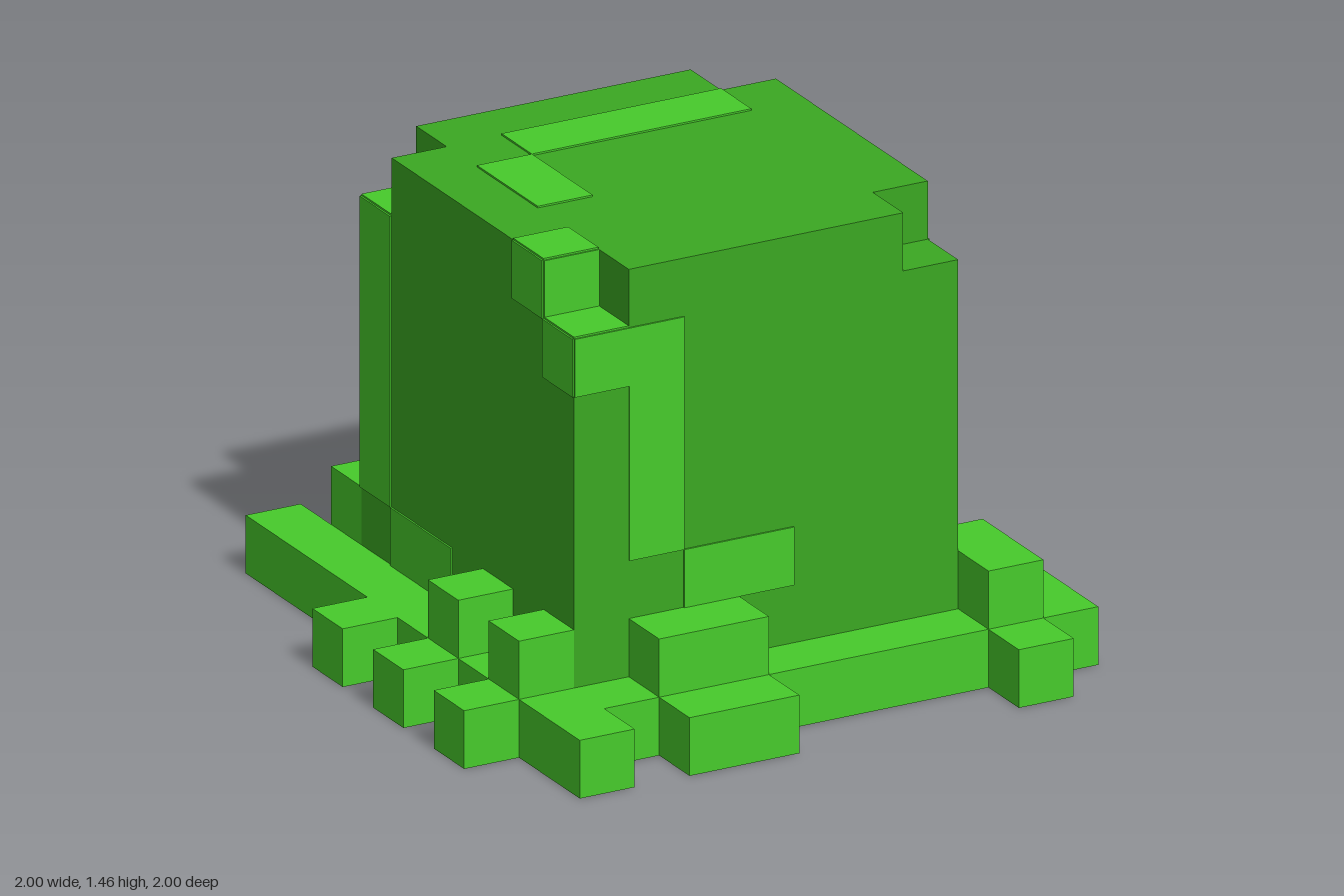
import * as THREE from 'three';

const U = 2 / 11;   // one cell of the 11 x 8 x 11 block grid
const T = 0.03;     // plate thickness, in cells

export function createModel() {
  const model = new THREE.Group();
  model.name = 'blockModel';
  const bright = new THREE.MeshStandardMaterial({ color: 0x47cb2b });
  bright.name = 'brightGreen';
  const dark = new THREE.MeshStandardMaterial({ color: 0x3ba822 });
  dark.name = 'darkGreen';

  // box between cell boundaries
  function block(parent, name, mat, x0, x1, y0, y1, z0, z1) {
    const g = new THREE.BoxGeometry((x1 - x0) * U, (y1 - y0) * U, (z1 - z0) * U);
    const m = new THREE.Mesh(g, mat);
    m.name = name;
    m.position.set((x0 + x1) / 2 * U - 1, (y0 + y1) / 2 * U, (z0 + z1) / 2 * U - 1);
    parent.add(m);
  }
  function part(name) {
    const g = new THREE.Group();
    g.name = name;
    model.add(g);
    return g;
  }

  // body: a cube whose top layer lacks its four corners
  const body = part('body');
  block(body, 'bodyCore', dark, 2, 9, 0, 7, 2, 9);
  block(body, 'topMiddle', dark, 3, 8, 7, 8, 2, 9);
  for (const x of [2, 8]) block(body, 'topSide', dark, x, x + 1, 7, 8, 3, 8);

  // thin bright patches on each face: [a0, a1, b0, b1]
  const patches = part('highlights');
  const front = [[2, 4, 6, 7], [3, 4, 3, 6], [4, 6, 2, 3]];
  const back = [[7, 8, 3, 7], [5, 7, 2, 3], [2, 3, 1, 7]];
  const plusX = [[7, 8, 3, 7], [5, 7, 2, 3]];
  const minusX = [[2, 3, 2, 7], [3, 5, 1, 2], [8, 9, 6, 7], [7, 8, 7, 8]];
  const top = [[4, 8, 3, 4], [3, 4, 4, 6], [2, 3, 7, 8]];
  const floors = [[2, 3, 2, 3], [2, 3, 8, 9]];
  for (const [a, b, c, d] of front) block(patches, 'frontPatch', bright, a, b, c, d, 9, 9 + T);
  for (const [a, b, c, d] of back) block(patches, 'backPatch', bright, a, b, c, d, 2 - T, 2);
  for (const [a, b, c, d] of plusX) block(patches, 'leftPatch', bright, 9, 9 + T, c, d, a, b);
  for (const [a, b, c, d] of minusX) block(patches, 'rightPatch', bright, 2 - T, 2, c, d, a, b);
  for (const [a, b, c, d] of top) block(patches, 'topPatch', bright, a, b, 8, 8 + T, c, d);
  for (const [a, b, c, d] of floors) block(patches, 'notchPatch', bright, a, b, 7, 7 + T, c, d);
  block(patches, 'notchWallPatch', bright, 2, 3, 7, 8, 8, 8 + T);

  // ring around the foot with uneven outward tabs: [x0, x1, z0, z1]
  const base = part('base');
  const ring = [[1, 2, 0, 11], [2, 9, 1, 2], [2, 9, 9, 10], [9, 10, 0, 11]];
  const tabs = [
    [3, 4, 0, 1], [10, 11, 0, 3], [10, 11, 8, 10], [3, 5, 10, 11],
    [0, 1, 4, 5], [0, 1, 6, 7], [0, 1, 8, 9],
  ];
  for (const [a, b, c, d] of ring) block(base, 'baseSide', bright, a, b, 0, 1, c, d);
  for (const [a, b, c, d] of tabs) block(base, 'baseTab', bright, a, b, 0, 1, c, d);

  // raised lumps standing on the ring: [x0, x1, top, z0, z1]
  const lumps = [
    [9, 10, 2, 8, 10], [9, 10, 2, 1, 3], [8, 9, 3, 1, 2], [2, 4, 2, 1, 2],
    [3, 5, 2, 9, 10], [1, 2, 2, 6, 7], [1, 2, 2, 8, 9],
  ];
  for (const [a, b, h, c, d] of lumps) block(base, 'baseLump', bright, a, b, 1, h, c, d);

  return model;
}
